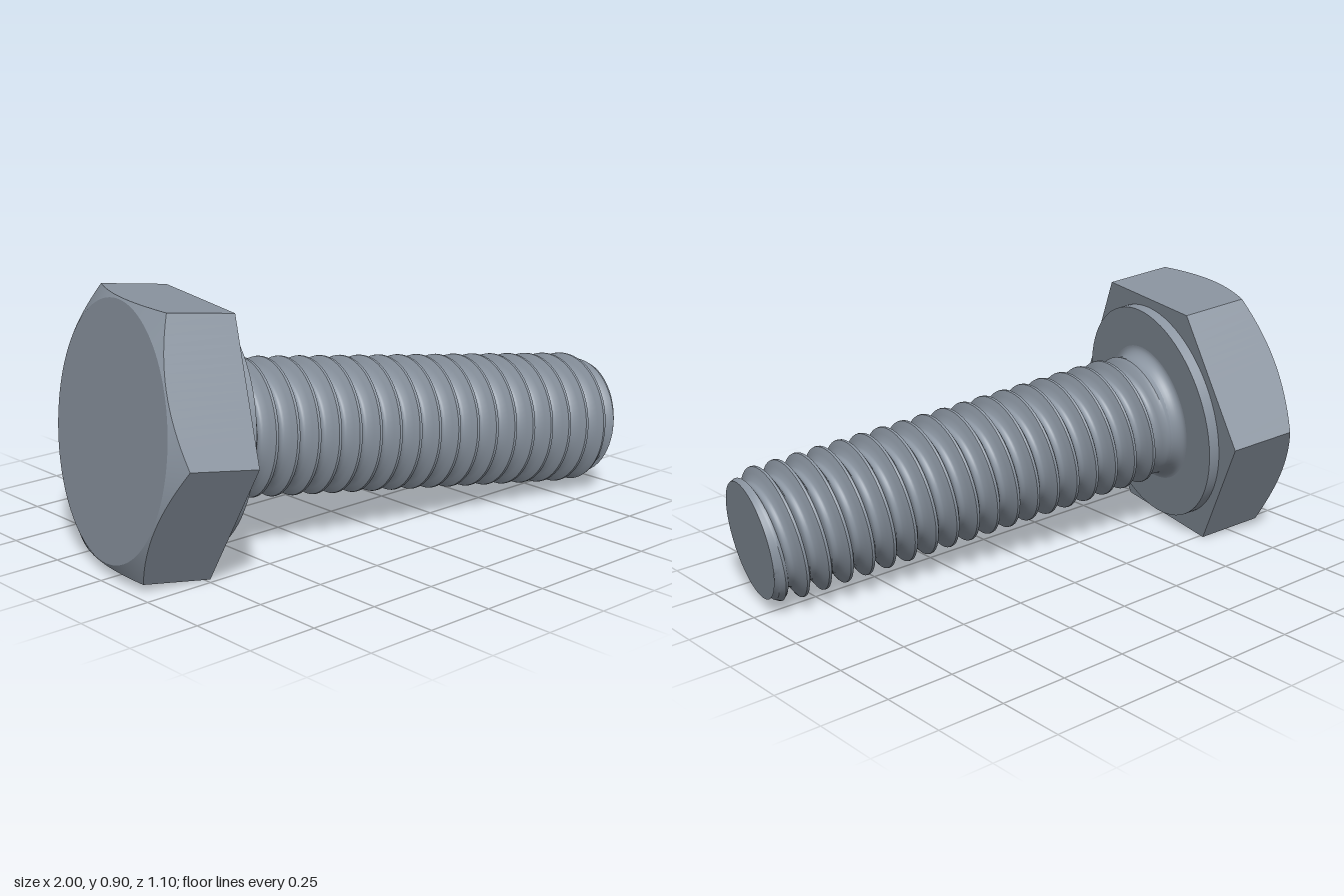
import * as THREE from 'three';
import { toCreasedNormals } from 'three/addons/utils/BufferGeometryUtils.js';

const TAU = Math.PI * 2;
const steel = new THREE.MeshStandardMaterial({ color: 0x8b95a1 });
steel.name = 'steel';

// Surface wrapped round the y axis; at(theta, row) gives [height, radius].
function wrap(name, cols, rows, at, crease) {
  const k = 100; // creasing works on a coarse grid, so build large, then shrink
  const pos = [], index = [];
  for (let j = 0; j < rows; j++) {
    for (let i = 0; i <= cols; i++) {
      const a = (i / cols) * TAU;
      const [h, r] = at(a, j);
      pos.push(k * r * Math.sin(a), k * h, k * r * Math.cos(a));
      if (j < rows - 1 && i < cols) {
        const p = j * (cols + 1) + i, q = p + cols + 1;
        index.push(p, p + 1, q, p + 1, q + 1, q);
      }
    }
  }
  let g = new THREE.BufferGeometry();
  g.setAttribute('position', new THREE.Float32BufferAttribute(pos, 3));
  g.setIndex(index);
  g = toCreasedNormals(g, crease);
  g.scale(1 / k, 1 / k, 1 / k);
  const mesh = new THREE.Mesh(g, steel);
  mesh.name = name;
  return mesh;
}

// Hexagonal head: a prism whose outer corners are cut by a shallow cone
function hexHead() {
  const apothem = 0.437, thick = 0.28, faceR = 0.43;
  return wrap('hexHead', 96, 5, (a, j) => {
    const m = (a % (TAU / 6)) - TAU / 12;
    const hex = apothem / Math.cos(m);
    return [
      [-thick, 0],
      [-thick, faceR],
      [-thick + (hex - faceR) * Math.tan(Math.PI / 6), hex],
      [0, hex],
      [0, 0],
    ][j];
  }, 0.4);
}

// Round profile given as [height, radius] pairs
const turned = (name, pts, crease) => wrap(name, 72, pts.length, (a, j) => pts[j], crease);

// Threaded shank: rows follow the helix so the crests stay crisp
function threadedShank() {
  const pitch = 0.0797, crestR = 0.238, rootR = 0.19;
  const start = 0.08, end = 1.627, neckR = 0.224, tipR = 0.208;
  const crestAt = 1.543 - pitch * 0.75;
  // distance from the crest in pitches, and radius there
  const profile = [[0, crestR], [0.06, crestR - 0.001], [0.2, 0.2165], [0.34, rootR + 0.005], [0.42, rootR + 0.001], [0.5, rootR]];
  const steps = [
    ...profile.slice(1).reverse().map(([t, r]) => [-t, r]),
    ...profile.slice(0, -1),
  ];
  const n = steps.length, turns = 23;
  const first = Math.floor((start - crestAt) / pitch) - 1;
  return wrap('threadedShank', 64, turns * n + 1, (a, j) => {
    if (j === turns * n) return [end, 0];
    const [t, r] = steps[j % n];
    const along = crestAt + pitch * (first + Math.floor(j / n) + t + a / TAU);
    const s = THREE.MathUtils.clamp(along, start, end);
    const fade = THREE.MathUtils.smoothstep(s, start, start + 0.07);
    const chamfer = tipR + (end - s) * 0.45;
    const radius = s === end ? tipR : THREE.MathUtils.lerp(neckR, r, fade);
    return [s, Math.min(radius, chamfer)];
  }, 0.65);
}

export function createModel() {
  const model = new THREE.Group();
  model.name = 'hexBolt';

  const bolt = new THREE.Group();
  bolt.name = 'bolt';
  bolt.add(hexHead());

  // Raised bearing face under the head
  bolt.add(turned('washerFace', [[0, 0.402], [0.04, 0.402], [0.04, 0]], 0.5));

  // Fillet where the shank leaves the head
  const fillet = [];
  for (let i = 0; i <= 8; i++) {
    const b = (i / 8) * Math.PI / 2;
    fillet.push([0.04 + 0.045 * (1 - Math.cos(b)), 0.224 + 0.032 * (1 - Math.sin(b))]);
  }
  bolt.add(turned('neckFillet', fillet, 0.6));
  bolt.add(threadedShank());

  // Lay the bolt down at a slight tilt, with two flats level
  const axis = new THREE.Vector3(1, -0.122, 0.214).normalize();
  const corner = new THREE.Vector3(-axis.z, 0, axis.x).normalize();
  const down = new THREE.Vector3().crossVectors(axis, corner);
  bolt.quaternion.setFromRotationMatrix(new THREE.Matrix4().makeBasis(down, axis, corner));
  bolt.position.set(-0.63, 0.434, -0.007);

  model.add(bolt);
  return model;
}
